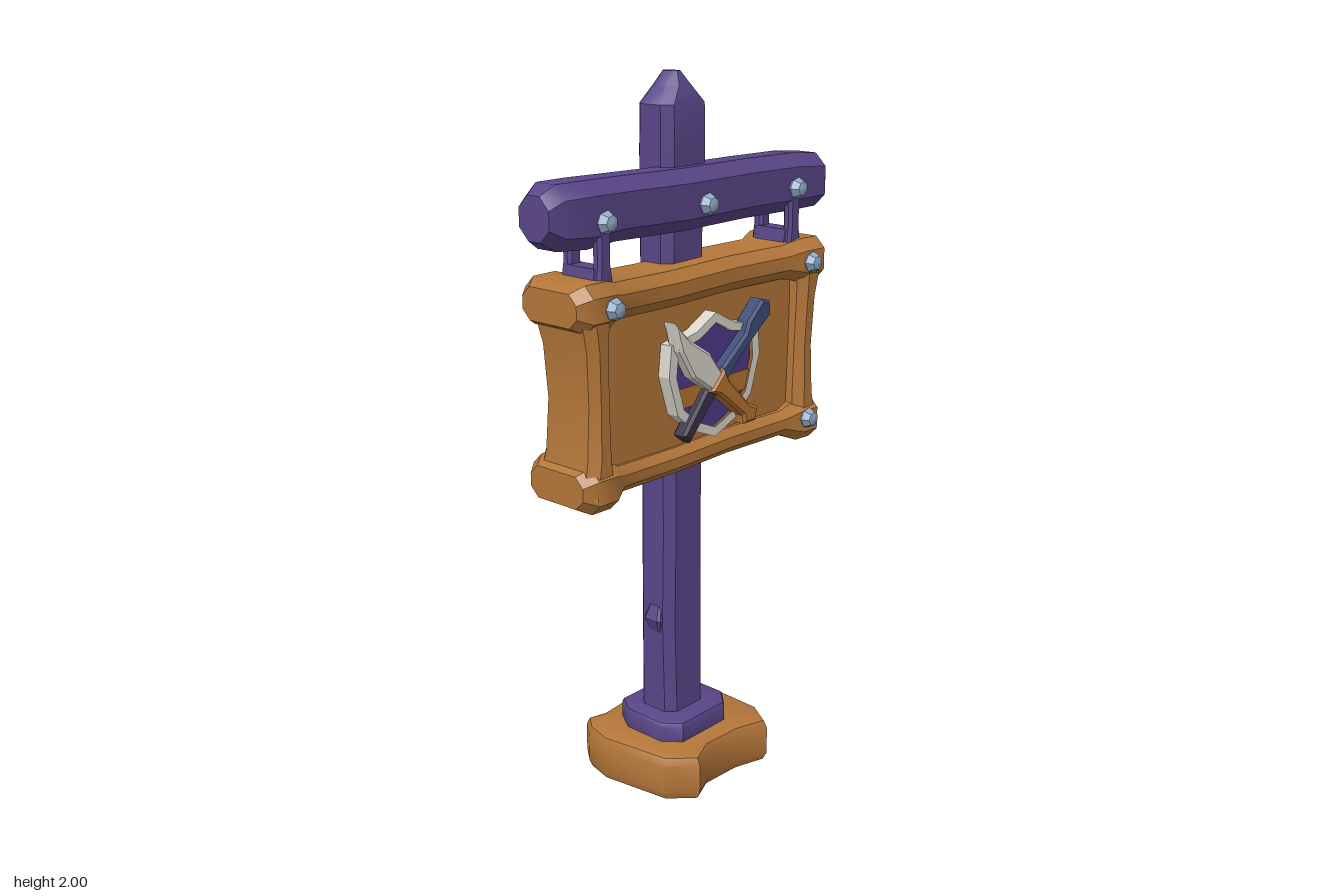
import * as THREE from 'three';
import { toCreasedNormals } from 'three/addons/utils/BufferGeometryUtils.js';

const mat = (name, color) => Object.assign(new THREE.MeshStandardMaterial({ color }), { name });

// Chamfered beam lofted along 'y' or 'z'.
// Stations: [t, centreU, centreV, halfU, halfV]; z axis: u = x, v = y; y axis: u = z, v = x.
function loft(axis, stations, chamfer = 0.025) {
  const pos = [], idx = [];
  const put = (u, v, t) => (axis === 'z' ? pos.push(u, v, t) : pos.push(v, t, u));
  for (const [t, cu, cv, hu, hv] of stations) {
    const c = Math.min(chamfer, hu * 0.6, hv * 0.6);
    const ring = [[hu, c - hv], [hu, hv - c], [hu - c, hv], [c - hu, hv],
      [-hu, hv - c], [-hu, c - hv], [c - hu, -hv], [hu - c, -hv]];
    for (const [u, v] of ring) put(cu + u, cv + v, t);
  }
  const n = stations.length, first = stations[0], last = stations[n - 1];
  put(first[1], first[2], first[0]);
  put(last[1], last[2], last[0]);
  for (let i = 0; i < 8; i++) {
    const j = (i + 1) % 8;
    for (let s = 0; s < n - 1; s++) {
      const a = s * 8 + i, b = s * 8 + j;
      idx.push(a, b, b + 8, a, b + 8, a + 8);
    }
    idx.push(n * 8, j, i, n * 8 + 1, (n - 1) * 8 + i, (n - 1) * 8 + j);
  }
  const g = new THREE.BufferGeometry();
  g.setAttribute('position', new THREE.Float32BufferAttribute(pos, 3));
  g.setIndex(idx);
  return toCreasedNormals(g, 0.6);
}

const outline = (pts) => new THREE.Shape(pts.map(([x, y]) => new THREE.Vector2(x, y)));

// Slab with rounded rims lying on the ground plane, points are [x, z]
function slab(pts, y, height, bevel) {
  const g = new THREE.ExtrudeGeometry(outline(pts.map(([x, z]) => [x, -z])), {
    depth: height - 2 * bevel, bevelEnabled: true, bevelSize: bevel,
    bevelThickness: bevel, bevelOffset: -bevel, bevelSegments: 2,
  });
  g.rotateX(-Math.PI / 2).translate(0, y + bevel, 0);
  return toCreasedNormals(g, 0.7);
}

// Plate facing +x, points are [-z, y]
function plate(shape, x, depth, bevel = 0) {
  const g = new THREE.ExtrudeGeometry(shape, {
    depth: depth - bevel, bevelEnabled: bevel > 0, bevelSize: bevel,
    bevelThickness: bevel, bevelOffset: -bevel, bevelSegments: 1,
  });
  return g.rotateY(Math.PI / 2).translate(x, 0, 0);
}

export function createModel() {
  const root = new THREE.Group();
  root.name = 'hangingSign';
  const purple = mat('purpleWood', 0x594688);
  const brown = mat('brownWood', 0xb37639);
  const steel = mat('boltSteel', 0x8ea8c4);
  const white = mat('paleMetal', 0xd9d5cc);
  const violet = mat('shieldViolet', 0x50398a);
  const orange = mat('orangePaint', 0xb8732f);
  const blue = mat('blueBlade', 0x3b4d78);
  const dark = mat('darkGrip', 0x3a3148);
  const add = (name, geometry, material) => {
    const m = new THREE.Mesh(geometry, material);
    m.name = name;
    root.add(m);
    return m;
  };

  // Base and collar
  add('base', slab([[-0.21, -0.13], [-0.12, -0.24], [0.13, -0.23], [0.21, -0.18], [0.18, -0.08],
    [0.175, 0.04], [0.21, 0.12], [0.14, 0.19], [-0.07, 0.22], [-0.15, 0.2], [-0.2, 0.16],
    [-0.185, 0.1]], 0, 0.145, 0.03), brown);
  add('collar', slab([[-0.12, -0.1], [-0.06, -0.14], [0.07, -0.14], [0.12, -0.09], [0.12, 0.09],
    [0.07, 0.13], [-0.06, 0.13], [-0.12, 0.09]], 0.12, 0.085, 0.015), purple);

  // Post with a blunt pointed top
  add('post', loft('y', [
    [0.15, 0, -0.005, 0.075, 0.067], [0.48, -0.003, -0.008, 0.08, 0.062],
    [0.75, 0.002, -0.005, 0.076, 0.064], [1.1, -0.002, -0.006, 0.079, 0.062],
    [1.55, 0, -0.008, 0.08, 0.061], [1.8, -0.003, -0.006, 0.085, 0.062],
    [1.92, -0.003, -0.006, 0.084, 0.06], [1.965, -0.005, -0.008, 0.048, 0.045],
    [2.0, -0.005, -0.01, 0.015, 0.025]]), purple);
  add('knot', loft('y', [[0.45, 0.07, 0, 0.008, 0.02], [0.49, 0.08, 0, 0.015, 0.03],
    [0.53, 0.07, 0, 0.008, 0.02]], 0.008), purple);

  // Crossbeam
  add('crossbeam', loft('z', [
    [-0.54, 0.045, 1.68, 0.05, 0.05], [-0.515, 0.045, 1.675, 0.068, 0.075],
    [-0.4, 0.045, 1.68, 0.068, 0.08], [-0.2, 0.045, 1.683, 0.066, 0.08],
    [0.05, 0.046, 1.682, 0.068, 0.081], [0.3, 0.044, 1.688, 0.067, 0.08],
    [0.4, 0.045, 1.686, 0.07, 0.084], [0.5, 0.045, 1.69, 0.068, 0.08],
    [0.54, 0.045, 1.69, 0.052, 0.055]], 0.035), purple);

  // U-shaped hangers between beam and sign
  for (const z of [-0.38, 0.37]) {
    for (const x of [-0.005, 0.1]) {
      add('hangerLeg', loft('y', [[1.52, z, x, 0.028, 0.016], [1.56, z, x, 0.022, 0.015],
        [1.64, z, x, 0.022, 0.015]], 0.008), purple);
    }
    add('hangerFoot', loft('y', [[1.515, z, 0.047, 0.03, 0.06], [1.555, z, 0.047, 0.024, 0.062]], 0.01), purple);
  }

  // Board and frame: knobbed rails with waisted side pieces
  const board = new THREE.BoxGeometry(0.09, 0.44, 0.8).translate(0.057, 1.23, 0);
  add('board', board, brown);
  const rail = (y, end, h, waist) => loft('z', [
    [-end, 0.036, y, 0.1, h * 0.7], [-end + 0.035, 0.036, y, 0.126, h], [-0.39, 0.036, y, 0.122, h],
    [-0.33, 0.036, y, 0.1, waist], [-0.1, 0.037, y + 0.003, 0.096, waist],
    [0.12, 0.036, y - 0.003, 0.094, waist], [0.33, 0.036, y, 0.096, waist],
    [0.38, 0.036, y, 0.122, h], [end - 0.035, 0.036, y, 0.12, h], [end, 0.036, y, 0.095, h * 0.7]], 0.03);
  add('topRail', rail(1.467, 0.49, 0.061, 0.047), brown);
  add('bottomRail', rail(1.0, 0.48, 0.062, 0.036), brown);
  for (const s of [-1, 1]) {
    add('sidePiece', loft('y', [[0.98, s * 0.42, 0.045, 0.055, 0.11], [1.08, s * 0.413, 0.05, 0.042, 0.1],
      [1.22, s * 0.411, 0.052, 0.036, 0.094], [1.36, s * 0.416, 0.05, 0.038, 0.1],
      [1.46, s * 0.425, 0.045, 0.05, 0.11]]), brown);
  }

  // Faceted bolts: [x, y, z, side]
  const boltGeo = toCreasedNormals(new THREE.LatheGeometry([[0.022, 0], [0.03, 0.012], [0.02, 0.033], [0, 0.038]]
    .map(([r, h]) => new THREE.Vector2(r, h)), 7), 0.3);
  for (const [x, y, z, side] of [
    [0.11, 1.67, -0.375, 1], [0.11, 1.67, 0, 1], [0.11, 1.67, 0.375, 1],
    [-0.02, 1.67, -0.375, -1], [-0.07, 1.67, 0, -1], [-0.02, 1.67, 0.375, -1],
    [0.15, 1.465, -0.4, 1], [0.15, 1.465, 0.39, 1], [0.15, 1.01, -0.4, 1],
    [-0.078, 1.465, 0.39, -1], [-0.078, 1.01, -0.41, -1]]) {
    const bolt = add('bolt', boltGeo, steel);
    bolt.position.set(x, y, z);
    bolt.rotation.z = -side * Math.PI / 2;
  }

  // Shield: pale rim, violet field, orange band
  const rim = [[0.015, 1.385], [0.09, 1.345], [0.19, 1.325], [0.2, 1.24], [0.165, 1.13], [0.1, 1.075],
    [0.015, 1.04], [-0.07, 1.075], [-0.135, 1.13], [-0.17, 1.24], [-0.16, 1.325], [-0.06, 1.345]];
  const inner = rim.map(([a, b]) => [0.015 + (a - 0.015) * 0.84, 1.21 + (b - 1.21) * 0.84]);
  const rimShape = outline(rim);
  rimShape.holes.push(outline(inner));
  add('shieldRim', plate(rimShape, 0.095, 0.045), white);
  add('shieldField', plate(outline(inner), 0.095, 0.036), violet);
  add('shieldBand', plate(outline([[-0.113, 1.145], [0.143, 1.145], [0.162, 1.2], [-0.132, 1.2]]), 0.13, 0.005), orange);

  // Crossed weapons
  add('clubGrip', plate(outline([[-0.13, 1.075], [-0.1, 1.05], [0.01, 1.165], [-0.025, 1.2]]), 0.12, 0.036, 0.008), dark);
  add('clubHead', plate(outline([[-0.025, 1.2], [0.01, 1.165], [0.1, 1.25], [0.17, 1.305], [0.225, 1.345],
    [0.22, 1.385], [0.185, 1.395], [0.13, 1.345], [0.115, 1.31]]), 0.12, 0.042, 0.008), blue);
  add('swordBlade', plate(outline([[-0.17, 1.39], [-0.15, 1.31], [-0.1, 1.23], [-0.02, 1.175], [0.025, 1.215],
    [-0.03, 1.285], [-0.11, 1.335]]), 0.125, 0.04, 0.008), white);
  add('swordGrip', plate(outline([[-0.035, 1.18], [0.0, 1.165], [0.1, 1.085], [0.105, 1.06], [0.155, 1.06],
    [0.16, 1.1], [0.125, 1.115], [0.04, 1.2], [0.02, 1.235]]), 0.125, 0.047, 0.008), orange);

  return root;
}
